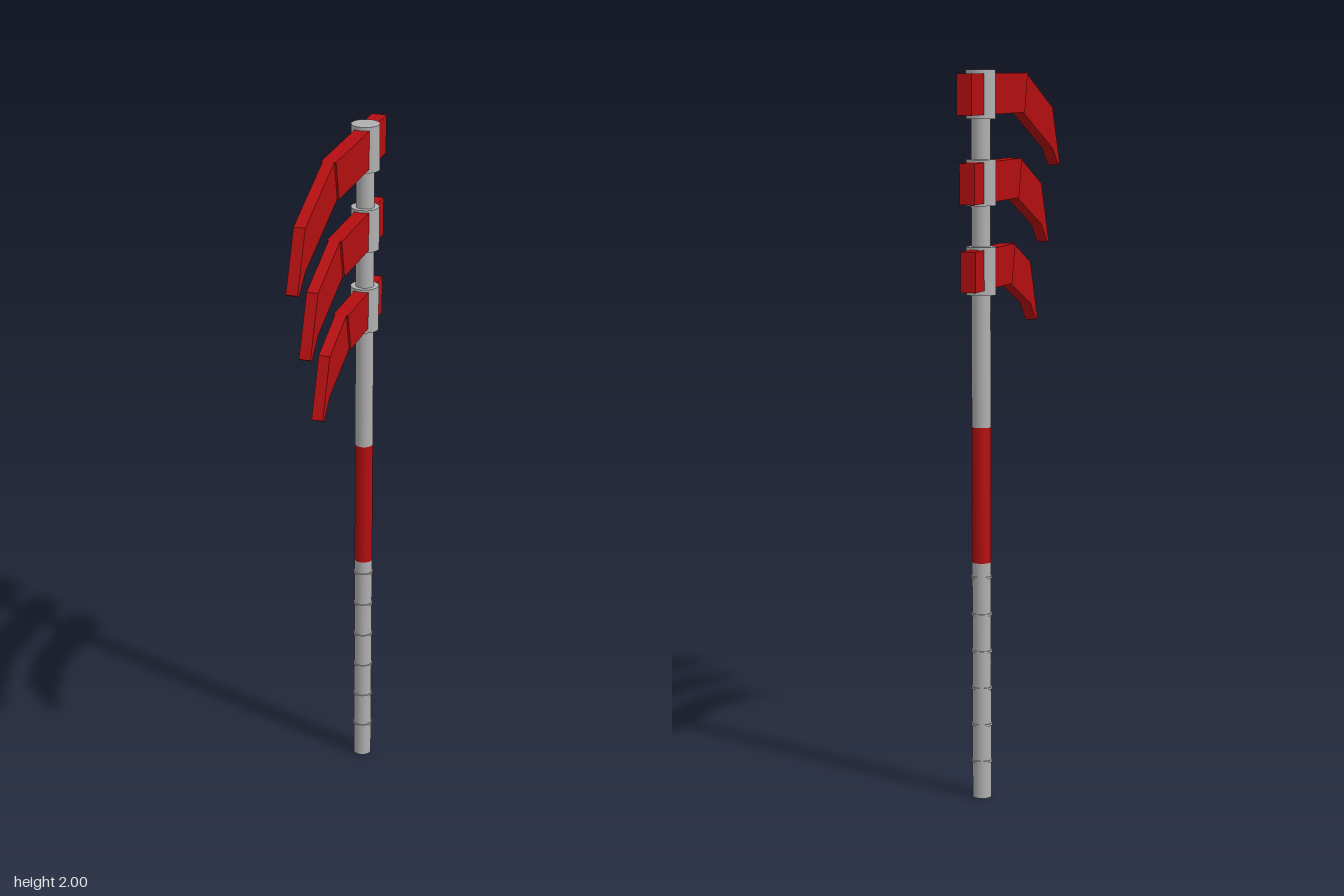
import * as THREE from 'three';

const POLE_Z = -0.257;

export function createModel() {
  const model = new THREE.Group();
  const grey = new THREE.MeshStandardMaterial({ color: 0xb0b0b0 });
  grey.name = 'steel grey';
  const red = new THREE.MeshStandardMaterial({ color: 0xb40e10 });
  red.name = 'blade red';

  const add = (name, geometry, material) => {
    const mesh = new THREE.Mesh(geometry, material);
    mesh.name = name;
    model.add(mesh);
    return mesh;
  };

  // Upright cylinder on the pole axis between two heights
  const tube = (name, radius, y0, y1, material) =>
    add(name, new THREE.CylinderGeometry(radius, radius, y1 - y0, 32), material)
      .position.set(0, (y0 + y1) / 2, POLE_Z);

  // Slab with a side outline given as [z, y] points
  const slab = (name, points, halfWidth) => {
    const shape = new THREE.Shape(points.map(([z, y]) => new THREE.Vector2(z, y)));
    const geometry = new THREE.ExtrudeGeometry(shape, { depth: halfWidth * 2, bevelEnabled: false });
    geometry.translate(0, 0, -halfWidth).rotateY(-Math.PI / 2);
    add(name, geometry, red);
  };

  // Pole: grip, coloured band and upper shaft
  tube('lowerPole', 0.026, 0, 0.665, grey);
  tube('poleBand', 0.026, 0.665, 1.04, red);
  tube('upperPole', 0.026, 1.04, 2, grey);

  // Thin grip rings
  for (let i = 1; i <= 6; i++) {
    const y = i * 0.104;
    tube('gripRing', 0.029, y - 0.003, y + 0.003, grey);
  }

  // Three hooked blades, each shorter than the one above
  const blades = [
    { top: 1.99, back: -0.387, bend: 0.077, elbow: [0.32, 1.889], tip: [0.387, 1.729], collar: [1.87, 2] },
    { top: 1.756, back: -0.368, bend: 0.027, elbow: [0.217, 1.676], tip: [0.284, 1.512], collar: [1.64, 1.763] },
    { top: 1.523, back: -0.361, bend: -0.032, elbow: [0.117, 1.459], tip: [0.181, 1.296], collar: [1.4, 1.53] },
  ];
  for (const { top, back, bend, elbow, tip, collar } of blades) {
    const bottom = top - 0.109;
    const bendTop = [bend, top];
    const bendLow = [bend - 0.026, bottom];
    const elbowLow = [elbow[0], elbow[1] - 0.117];
    const tipLow = [tip[0] - 0.013, tip[1] - 0.007];
    slab('bladeBase', [[back, bottom], bendLow, bendTop, [back, top]], 0.021);
    slab('bladeMiddle', [bendLow, elbowLow, elbow, bendTop], 0.016);
    slab('bladeTip', [elbowLow, tipLow, tip, elbow], 0.016);
    tube('bladeCollar', 0.04, collar[0], collar[1], grey);
  }
  return model;
}
